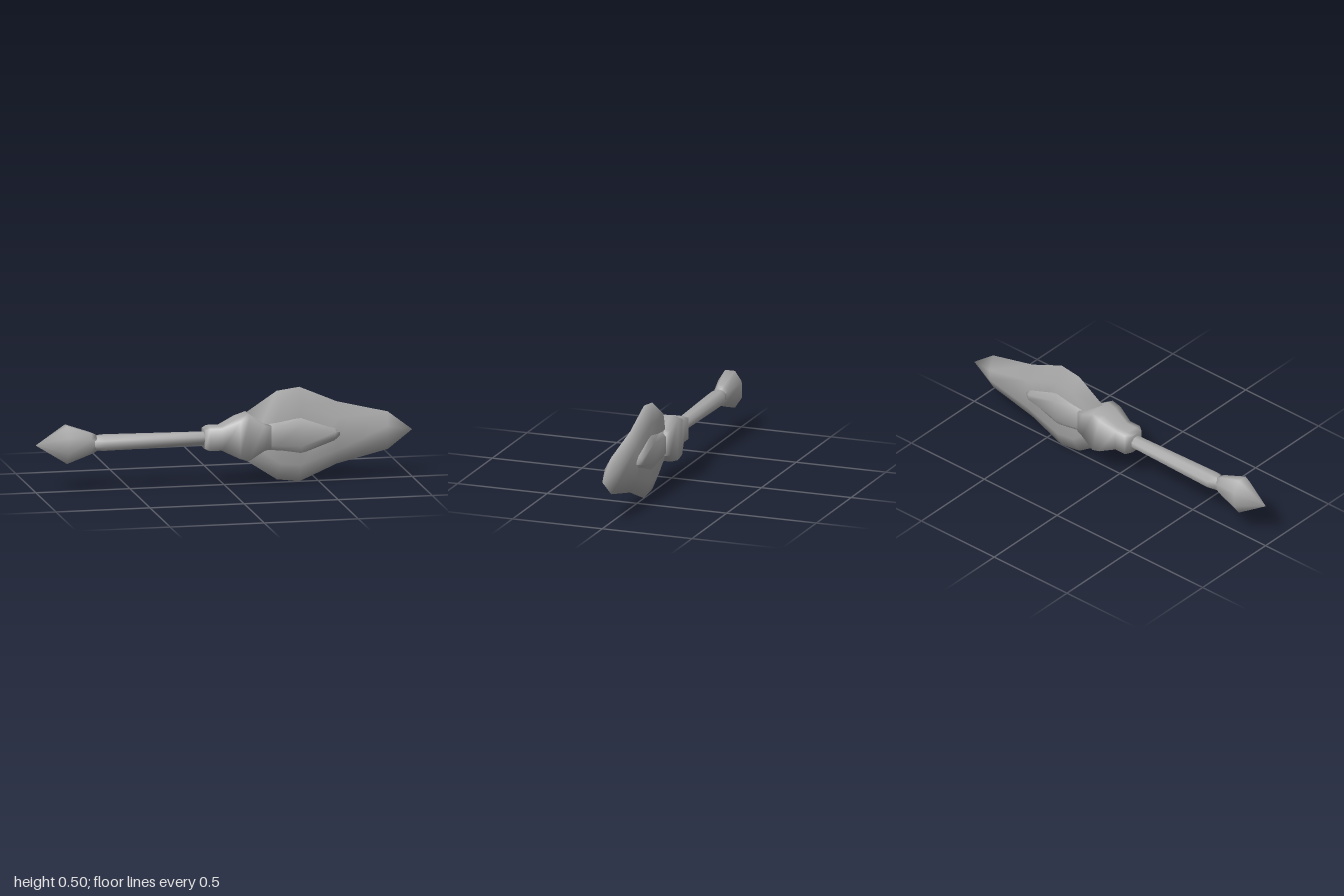
import * as THREE from 'three';
import { toCreasedNormals } from 'three/addons/utils/BufferGeometryUtils.js';

const MID = 0.254; // height of the weapon's axis

// Skins a list of rings (points [x, y, z], running from +y towards +z) along x, with both ends capped.
function loft(rings, crease) {
  const n = rings[0].length, pos = [], idx = [];
  rings.forEach(r => r.forEach(p => pos.push(...p)));
  for (let i = 0; i < rings.length - 1; i++) {
    for (let j = 0; j < n; j++) {
      const a = i * n + j, b = i * n + (j + 1) % n;
      idx.push(a, b, a + n, b, b + n, a + n);
    }
  }
  const last = (rings.length - 1) * n;
  for (let j = 1; j < n - 1; j++) idx.push(0, j + 1, j, last, last + j, last + j + 1);
  const g = new THREE.BufferGeometry();
  g.setAttribute('position', new THREE.Float32BufferAttribute(pos, 3));
  g.setIndex(idx);
  return toCreasedNormals(g, crease);
}

// Eight-sided ring with half height hy and half depth hz; ky and kz set the corner cut.
function octagon(x, hy, hz, ky, kz) {
  return [[hy, hz * kz], [hy * ky, hz], [-hy * ky, hz], [-hy, hz * kz],
    [-hy, -hz * kz], [-hy * ky, -hz], [hy * ky, -hz], [hy, -hz * kz]].map(([y, z]) => [x, y, z]);
}

export function createModel() {
  const group = new THREE.Group();
  const metal = new THREE.MeshStandardMaterial({ color: 0xaaaaaa });
  metal.name = 'grey metal';
  const add = (name, geometry) => {
    const mesh = new THREE.Mesh(geometry, metal);
    mesh.name = name;
    mesh.position.y = MID;
    group.add(mesh);
  };

  // Pommel: flattened spike widening from a point, then narrowing to the shaft
  add('pommel', loft([
    [-1, 0.001, 0.001], [-0.84, 0.1, 0.065], [-0.71, 0.056, 0.038], [-0.68, 0.042, 0.03],
  ].map(([x, hy, hz]) => octagon(x, hy, hz, 0.42, 0.42)), 1.3));

  // Shaft: slender tapered bar
  add('shaft', loft([
    [-0.71, 0.036, 0.028], [-0.64, 0.04, 0.05], [-0.09, 0.033, 0.035],
  ].map(([x, hy, hz]) => octagon(x, hy, hz, 0.42, 0.42)), 1.3));

  // Collar: flared socket holding the blade
  add('collar', loft([
    [-0.11, 0.052, 0.045], [-0.085, 0.064, 0.06], [-0.02, 0.064, 0.06], [0.07, 0.108, 0.085],
    [0.12, 0.126, 0.081], [0.2, 0.075, 0.07], [0.24, 0.065, 0.061],
  ].map(([x, hy, hz]) => octagon(x, hy, hz, 0.9, 0.5)), 1.5));

  // Blade: [edge x, edge y, flat x, flat y, half thickness], softly shaded from the flat over the edge
  add('blade', loft([
    [0.12, 0.13, 0.19, 0.07, 0.04], [0.28, 0.235, 0.29, 0.145, 0.04], [0.4, 0.251, 0.4, 0.157, 0.04],
    [0.6, 0.165, 0.6, 0.085, 0.04], [0.87, 0.1, 0.86, 0.03, 0.04], [1, 0, 1, 0, 0],
  ].map(([ex, ey, fx, fy, z]) => [
    [ex, ey, 0], [fx, fy, z], [fx, -fy, z], [ex, -ey, 0], [fx, -fy, -z], [fx, fy, -z],
  ]), Math.PI));

  // Raised panel on both faces of the blade
  add('bladePanel', loft([
    [0.2, 0.07, 0.06, 0.6], [0.27, 0.078, 0.06, 0.6], [0.4, 0.1, 0.06, 0.55],
    [0.58, 0.036, 0.06, 0.4], [0.61, 0.02, 0.038, 0.4],
  ].map(([x, hy, hz, ky]) => octagon(x, hy, hz, ky, 0.6)), 1));

  return group;
}
